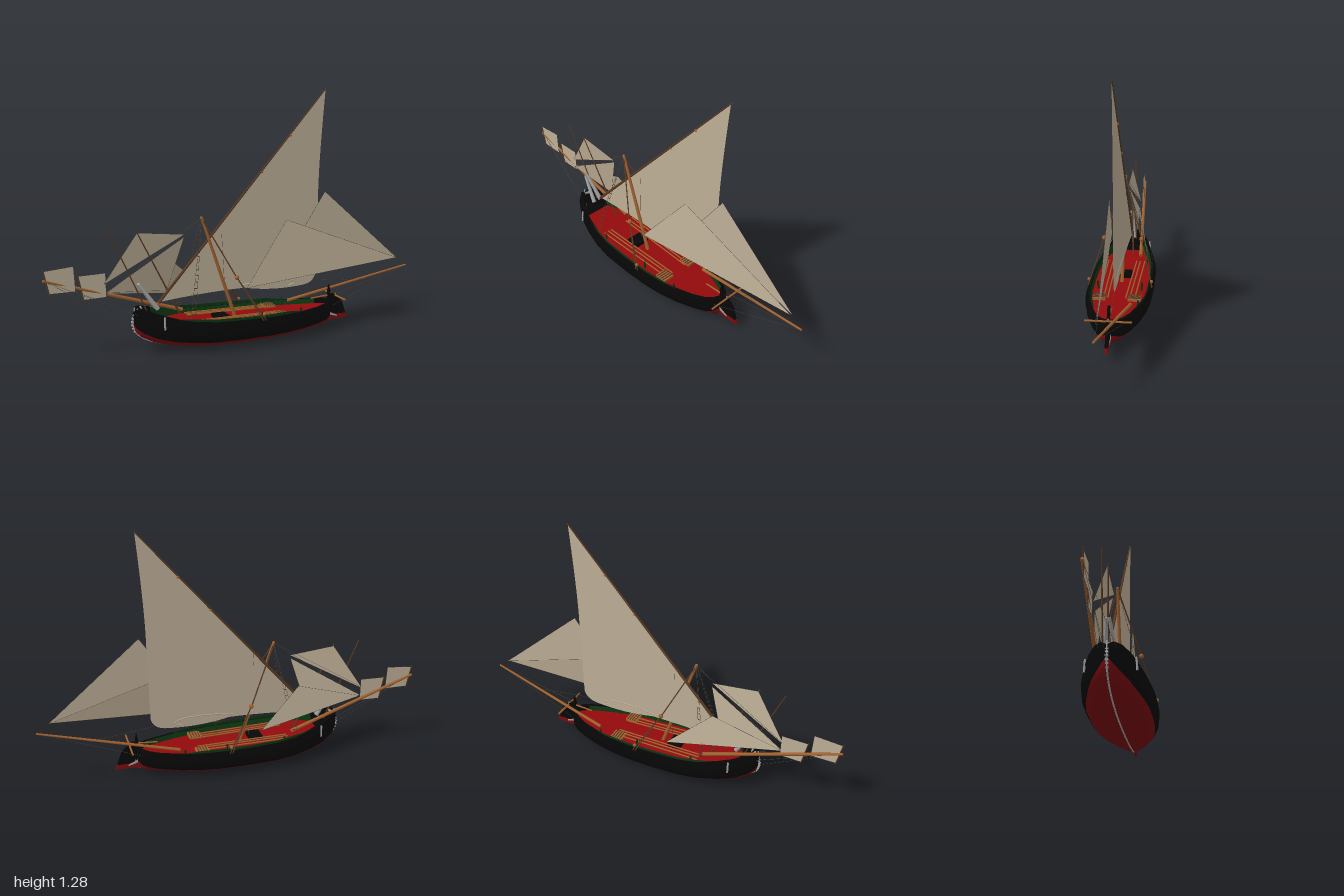
import * as THREE from 'three';

const mat = (name, color) => {
  const m = new THREE.MeshStandardMaterial({ color, side: THREE.DoubleSide });
  m.name = name;
  return m;
};
const M = {
  black: mat('black paint', 0x070707), bottom: mat('bottom red', 0x7c0a0f), deck: mat('deck red', 0x930a0b),
  green: mat('dark green', 0x0c3512), sail: mat('canvas', 0xbdae96), wood: mat('varnished wood', 0xa0602e),
  spar: mat('dark spar', 0x5a3a22), rope: mat('rope', 0x4a443c), grey: mat('pale grey', 0x9f9f9f),
};

// Hull stations: x, half beam, keel height, waterline, sheer
const stations = [
  [-0.580, 0.004, 0.150, 0.156, 0.215], [-0.570, 0.030, 0.112, 0.135, 0.230], [-0.54, 0.062, 0.082, 0.112, 0.228],
  [-0.48, 0.102, 0.052, 0.088, 0.208], [-0.40, 0.130, 0.032, 0.070, 0.185], [-0.30, 0.155, 0.018, 0.058, 0.166],
  [-0.20, 0.169, 0.011, 0.052, 0.157], [-0.05, 0.172, 0.008, 0.050, 0.152], [0.10, 0.169, 0.010, 0.050, 0.150],
  [0.20, 0.159, 0.014, 0.053, 0.150], [0.30, 0.138, 0.020, 0.057, 0.150], [0.40, 0.105, 0.029, 0.064, 0.152],
  [0.46, 0.076, 0.036, 0.070, 0.156], [0.49, 0.050, 0.041, 0.077, 0.160], [0.508, 0.004, 0.050, 0.088, 0.162],
];
const N = stations.length - 1;

export function createModel() {
  const root = new THREE.Group();
  root.name = 'sailingBarge';

  const add = (name, geo, m) => {
    const mesh = new THREE.Mesh(geo, m);
    mesh.name = name;
    root.add(mesh);
    return mesh;
  };

  // Grid surface: f(i, j) gives a point
  const sheet = (name, nu, nv, f, m) => {
    const pos = [], idx = [];
    for (let i = 0; i <= nu; i++) for (let j = 0; j <= nv; j++) pos.push(...f(i, j));
    for (let i = 0; i < nu; i++) for (let j = 0; j < nv; j++) {
      const a = i * (nv + 1) + j, b = a + nv + 1;
      idx.push(a, a + 1, b, b, a + 1, b + 1);
    }
    const g = new THREE.BufferGeometry();
    g.setAttribute('position', new THREE.Float32BufferAttribute(pos, 3));
    g.setIndex(idx);
    g.computeVertexNormals();
    return add(name, g, m);
  };

  // Round bar between two points
  const bar = (name, a, b, r0, r1, m, sides = 8) => {
    const A = new THREE.Vector3(...a), B = new THREE.Vector3(...b), d = B.clone().sub(A);
    const mesh = add(name, new THREE.CylinderGeometry(r1, r0, d.length(), sides), m);
    mesh.position.copy(A).add(B).multiplyScalar(0.5);
    mesh.quaternion.setFromUnitVectors(new THREE.Vector3(0, 1, 0), d.normalize());
    return mesh;
  };
  const line = (name, a, b) => bar(name, a, b, 0.0008, 0.0008, M.rope, 5);
  const box = (name, w, h, d, x, y, z, m) => {
    const mesh = add(name, new THREE.BoxGeometry(w, h, d), m);
    mesh.position.set(x, y, z);
    return mesh;
  };
  const ball = (name, r, x, y, z, m) => add(name, new THREE.SphereGeometry(r, 10, 8), m).position.set(x, y, z);

  // Hull section width at a height
  const width = (s, y) => {
    const u = Math.min(1, Math.max(0, (y - s[2]) / (s[4] - s[2])));
    return s[1] * Math.sqrt(1 - (1 - u) ** 4) * (1 - 0.07 * u ** 4);
  };
  const deckY = (s) => Math.min(s[4] - 0.025, 0.142);
  sheet('hullBottom', N, 16, (i, j) => {
    const s = stations[i], t = (j - 8) / 8, y = s[2] + (s[3] - s[2]) * t * t;
    return [s[0], y, Math.sign(t) * width(s, y)];
  }, M.bottom);
  for (const k of [1, -1]) {
    const side = k > 0 ? 'left' : 'right';
    sheet(side + 'Topside', N, 8, (i, j) => {
      const s = stations[i], y = s[3] + (s[4] - s[3]) * j / 8;
      return [s[0], y, k * width(s, y)];
    }, M.black);
    const inner = (s, inset) => k * Math.max(0, width(s, s[4]) - inset);
    const inX = (s) => s[0] * 0.975;
    sheet(side + 'Gunwale', N, 1, (i, j) => {
      const s = stations[i];
      return [j ? inX(s) : s[0], s[4], inner(s, 0.013 * j)];
    }, M.black);
    // Inner bulwark: black in the ends, green between
    for (const [name, from, to, m] of [['Bow', 0, 3, M.black], ['Middle', 3, 12, M.green], ['Stern', 12, N, M.black]])
      sheet(side + name + 'Bulwark', to - from, 1, (i, j) => {
        const s = stations[from + i];
        return [inX(s), j ? deckY(s) : s[4], inner(s, 0.013 + 0.008 * j)];
      }, m);
    // Raised wash strake amidships
    sheet(side + 'WashStrake', 6, 1, (i, j) => {
      const s = stations[i + 4];
      return [s[0], s[4] + 0.014 * j * Math.min(1, i, 6 - i), inner(s, 0.007)];
    }, M.green);
    // Rubbing strake
    const path = stations.map((s) => new THREE.Vector3(s[0], s[4] - 0.028, k * (width(s, s[4] - 0.028) + 0.001)));
    add(side + 'RubbingStrake', new THREE.TubeGeometry(new THREE.CatmullRomCurve3(path), 60, 0.003, 6), M.black);
  }
  // Deck: black in the bow, red behind it
  for (const [name, from, to, m] of [['foreDeck', 0, 3, M.black], ['deck', 3, N, M.deck]])
    sheet(name, to - from, 6, (i, j) => {
      const s = stations[from + i], t = (j - 3) / 3;
      return [s[0] * 0.97, deckY(s), t * Math.max(0, width(s, s[4]) - 0.02)];
    }, m);

  // Keel band and stem with studs
  const keel = stations.map((s) => new THREE.Vector3(s[0], s[2], 0));
  keel.unshift(new THREE.Vector3(-0.572, 0.235, 0));
  add('keelBand', new THREE.TubeGeometry(new THREE.CatmullRomCurve3(keel), 60, 0.004, 6), M.grey);
  for (let i = 0; i < 9; i++) {
    const a = -0.55 + i * 0.2;
    box('stemStud', 0.01, 0.008, 0.014, -0.497 - 0.087 * Math.cos(a), 0.158 + 0.085 * Math.sin(a), 0, M.grey).rotation.z = -a;
  }

  // Rudder, post and yoke
  const plate = (name, pts, d, m) => {
    const g = new THREE.ExtrudeGeometry(new THREE.Shape(pts.map((p) => new THREE.Vector2(...p))), { depth: d, bevelEnabled: false });
    add(name, g.translate(0, 0, -d / 2), m);
  };
  plate('sternPost', [[0.497, 0.045], [0.515, 0.05], [0.515, 0.2], [0.507, 0.24], [0.5, 0.2]], 0.014, M.black);
  plate('rudder', [[0.517, 0.075], [0.61, 0.075], [0.585, 0.145], [0.535, 0.19], [0.517, 0.19]], 0.014, M.black);
  plate('rudderFoot', [[0.5, 0.048], [0.62, 0.05], [0.61, 0.075], [0.5, 0.075]], 0.015, M.bottom);
  plate('rudderStrap', [[0.495, 0.1], [0.51, 0.075], [0.555, 0.062], [0.555, 0.07], [0.52, 0.085]], 0.019, M.grey);
  bar('yoke', [0.545, 0.178, -0.11], [0.545, 0.178, 0.11], 0.005, 0.005, M.wood);
  bar('tiller', [0.4, 0.175, 0], [0.55, 0.185, 0], 0.004, 0.005, M.wood);

  // Deck fittings: hatch, gratings, oars, cleats
  box('hatch', 0.07, 0.02, 0.085, -0.12, 0.138, 0, M.black);
  for (const k of [1, -1]) {
    box('gratingPanel', 0.065, 0.012, 0.065, 0.185, 0.138, k * 0.088, M.wood);
    for (let i = 0; i < 4; i++) box('gratingBatten', 0.004, 0.004, 0.065, 0.164 + i * 0.014, 0.146, k * 0.088, M.spar);
    for (const z of [0.055, 0.075, 0.1]) bar('oar', [-0.28, 0.148, k * z], [0.2, 0.142, k * (z - 0.01)], 0.004, 0.004, M.wood, 6);
    for (const x of [-0.25, 0.06, 0.28]) bar('cleat', [x, 0.12, k * 0.11], [x, 0.168, k * 0.115], 0.005, 0.005, M.green, 6);
    // Pale horns and cleats at the bow
    bar('bowHorn', [-0.55, 0.35, k * 0.006], [-0.46, 0.22, k * 0.022], 0.007, 0.012, M.grey);
    bar('bowCleat', [-0.455, 0.14, k * 0.116], [-0.455, 0.2, k * 0.112], 0.005, 0.005, M.grey, 6);
  }

  // Spars
  bar('mast', [-0.04, 0.125, 0], [-0.22, 0.655, 0], 0.010, 0.007, M.wood);
  bar('yard', [-0.445, 0.24, -0.014], [0.478, 1.28, -0.014], 0.008, 0.003, M.spar);
  bar('bowsprit', [-0.3, 0.175, -0.075], [-1, 0.4, -0.04], 0.010, 0.007, M.wood);
  bar('boomkin', [0.3, 0.155, -0.08], [0.998, 0.305, 0], 0.009, 0.005, M.wood);
  bar('foreBoom', [-0.5, 0.2, -0.03], [-0.69, 0.62, -0.01], 0.004, 0.003, M.spar, 6);
  bar('middleBoom', [-0.33, 0.17, -0.03], [-0.555, 0.61, 0], 0.005, 0.003, M.spar, 6);
  for (const [x, y] of [[0.115, 0.865], [0.275, 1.045]]) ball('yardBlock', 0.007, x, y, -0.014, M.wood);
  ball('mastHead', 0.008, -0.22, 0.652, 0, M.wood);

  // Main sail with a rounded foot
  const s = new THREE.Shape();
  s.moveTo(-0.44, 0.245).lineTo(0.475, 1.275);
  s.bezierCurveTo(0.455, 1.05, 0.44, 0.85, 0.44, 0.7);
  s.lineTo(0.432, 0.31).quadraticCurveTo(0.42, 0.26, 0.36, 0.252);
  s.quadraticCurveTo(0.18, 0.235, 0.02, 0.27).quadraticCurveTo(-0.2, 0.27, -0.44, 0.245);
  add('mainSail', new THREE.ShapeGeometry(s, 12).translate(0, 0, -0.012), M.sail);
  const fold = new THREE.CatmullRomCurve3([[0, 0.285], [0.15, 0.298], [0.28, 0.29], [0.31, 0.27], [0.27, 0.258]].map((p) => new THREE.Vector3(...p, -0.01)));
  add('footRoll', new THREE.TubeGeometry(fold, 24, 0.004, 6), M.sail);

  // Flat sails from corner points, with a thin bolt rope round each
  const sail = (name, pts) => {
    const g = new THREE.BufferGeometry();
    g.setAttribute('position', new THREE.Float32BufferAttribute(pts.flat(), 3));
    g.setIndex(pts.length === 3 ? [0, 1, 2] : [0, 1, 2, 0, 2, 3]);
    g.computeVertexNormals();
    add(name, g, M.sail);
    pts.forEach((p, i) => line(name + 'Edge', p, pts[(i + 1) % pts.length]));
  };
  sail('upperSternSail', [[0.475, 0.745, 0], [0.33, 0.533, 0.006], [0.935, 0.352, -0.004]]);
  sail('lowerSternSail', [[0.245, 0.612, 0.012], [0.0, 0.29, 0.065], [0.93, 0.352, 0.002]]);
  sail('upperJib', [[-0.55, 0.6, -0.005], [-0.71, 0.355, -0.04], [-0.31, 0.575, -0.005]]);
  sail('middleJib', [[-0.31, 0.56, -0.01], [-0.7, 0.315, -0.035], [-0.39, 0.29, -0.05]]);
  sail('lowerJib', [[-0.7, 0.31, -0.035], [-0.12, 0.23, -0.13], [-0.34, 0.42, -0.06]]);
  sail('foreSquareSail', [[-0.995, 0.445, -0.038], [-0.855, 0.457, -0.038], [-0.848, 0.335, -0.038], [-0.97, 0.335, -0.038]]);
  sail('aftSquareSail', [[-0.832, 0.405, -0.046], [-0.7, 0.408, -0.046], [-0.698, 0.29, -0.046], [-0.81, 0.287, -0.046]]);
  for (const [x, y, z] of [[-0.985, 0.39, -0.038], [-0.821, 0.346, -0.046]])
    bar('squareSailStick', [x - 0.012, y + 0.062, z], [x + 0.014, y - 0.062, z], 0.003, 0.003, M.spar, 6);

  // Shrouds, tackle blocks and ladders
  const top = [-0.22, 0.65, 0];
  for (const k of [1, -1]) {
    bar('shroud', top, [-0.075, 0.36, k * 0.098], 0.0035, 0.0035, M.spar, 6);
    ball('shroudBlock', 0.012, -0.072, 0.357, k * 0.098, M.wood);
    for (const d of [0, 0.014]) bar('tackle', [-0.072, 0.357, k * 0.098], [0.045 + d, 0.14, k * 0.165], 0.0028, 0.0028, M.spar, 6);
    ball('deadeye', 0.009, 0.05, 0.172, k * 0.162, M.wood);
    for (const d of [0, 0.025]) line('forwardShroud', top, [-0.325 + d, 0.17, k * 0.12]);
    for (let i = 1; i < 14; i++) {
      const t = i / 16, x = -0.325 + 0.105 * t, y = 0.17 + 0.48 * t, z = k * 0.12 * (1 - t);
      bar('ratline', [x, y, z], [x + 0.025 * (1 - t), y, z], 0.002, 0.002, M.spar, 5);
    }
    line('boomkinGuy', [0.995, 0.303, 0], [0.5, 0.14, k * 0.055]);
    line('bowspritGuy', [-0.99, 0.397, -0.04], [-0.56, 0.2, k * 0.04]);
  }
  for (const end of [[-0.7, 0.31, -0.035], [-0.71, 0.36, -0.04]]) line('forestay', top, end);
  line('halyard', [-0.11, 0.61, -0.014], [-0.09, 0.15, 0]);
  line('mainSheet', [0.42, 0.27, -0.012], [0.75, 0.24, -0.03]);
  line('bobstay', [-0.99, 0.395, -0.04], [-0.58, 0.15, 0]);
  return root;
}
